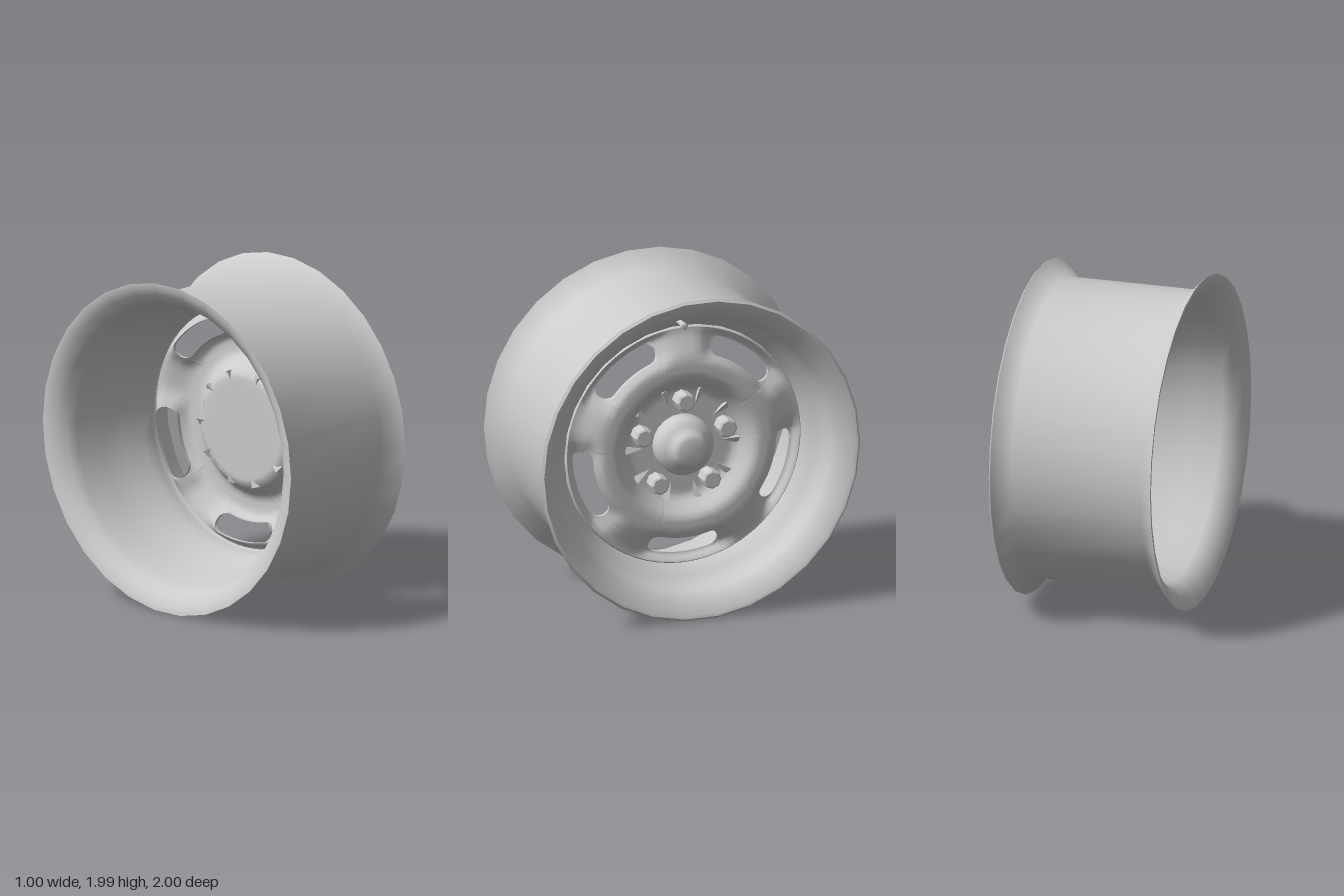
import * as THREE from 'three';
import { mergeVertices, toCreasedNormals } from 'three/addons/utils/BufferGeometryUtils.js';

const CENTRE_Y = 0.9945;
const SECTORS = 5;
const RAD = Math.PI / 180;
const MID = 0.625; // radius of the slot centre line
const FLOOR = 0.15; // height of the hub floor
const material = new THREE.MeshStandardMaterial({ color: 0xcccccc, side: THREE.DoubleSide });
const ss = (a, b, v) => THREE.MathUtils.smoothstep(v, a, b);

// Turned part about the x axis; points are [x, radius]
function turned(name, points, segments, crease) {
  let g = new THREE.LatheGeometry(points.map(([x, r]) => new THREE.Vector2(r, x)), segments);
  g.rotateZ(-Math.PI / 2);
  if (crease) g = toCreasedNormals(g, crease);
  const mesh = new THREE.Mesh(g, material);
  mesh.name = name;
  return mesh;
}

// Point on the wheel at a height x, radius and angle
const polar = (x, r, deg) => [x, r * Math.sin(deg * RAD), r * Math.cos(deg * RAD)];

// Disc height: sunken hub floor, raised ring, and a pocket around each slot
function discHeight(r, phi) {
  const pocket = (1 - ss(17, 30, Math.abs(phi))) * ss(0.53, 0.6, r) * (1 - ss(0.68, 0.73, r));
  return FLOOR + 0.11 * ss(0.32, 0.45, r) - 0.07 * ss(0.52, 0.73, r) - 0.05 * pocket;
}

// Half the radial opening of a slot at an angle from its middle
function slotHalf(phi) {
  const end = Math.max(0, Math.abs(phi) - 15) / 5;
  return end >= 1 ? 0 : 0.055 * Math.sqrt(1 - end * end);
}

// Column angles of one sector, denser at the slot ends
const half = [0, 3, 6, 9, 12, 15, 17, 18.5, 19.5, 20, 22, 25, 28, 32, 36];
const columns = [...half.slice(1).reverse().map(a => -a), ...half];

// Sheet made of rows x columns around all sectors; point(phi, angle, v) gives a position
function sheet(name, rows, point, keep = () => true) {
  const pos = [];
  for (let s = 0; s < SECTORS; s++) {
    const base = 270 + s * 360 / SECTORS;
    for (let i = 0; i < columns.length - 1; i++) {
      const p = columns[i], q = columns[i + 1];
      if (!keep(p, q)) continue;
      for (let j = 0; j < rows; j++) {
        const a = point(p, base + p, j / rows), b = point(q, base + q, j / rows);
        const c = point(q, base + q, (j + 1) / rows), d = point(p, base + p, (j + 1) / rows);
        pos.push(...a, ...b, ...c, ...a, ...c, ...d);
      }
    }
  }
  let g = new THREE.BufferGeometry();
  g.setAttribute('position', new THREE.Float32BufferAttribute(pos, 3));
  g = mergeVertices(g, 1e-4);
  g.computeVertexNormals();
  const mesh = new THREE.Mesh(g, material);
  mesh.name = name;
  return mesh;
}

export function createModel() {
  const group = new THREE.Group();
  group.name = 'wheel';
  group.position.y = CENTRE_Y;

  // Rim: straight outer barrel with flared lips, and a stepped inner face
  group.add(turned('rimOuter', [[-0.5, 1], [-0.4, 0.893], [0.39, 0.893], [0.485, 1], [0.5, 0.985]], 30));
  group.add(turned('rimInner', [
    [0.5, 0.985], [0.495, 0.965], [0.47, 0.925], [0.43, 0.875], [0.38, 0.855], [0.31, 0.84],
    [0.25, 0.8], [0.2, 0.75], [0.15, 0.74], [0.08, 0.75], [-0.05, 0.79], [-0.2, 0.825],
    [-0.37, 0.85], [-0.43, 0.875], [-0.47, 0.925], [-0.495, 0.965], [-0.5, 1],
  ], 30));

  // Disc: one sheet inside the slots and one outside, meeting between them
  const disc = new THREE.Group();
  disc.name = 'disc';
  const surface = (r, phi, deg) => polar(discHeight(r, phi), r, deg);
  disc.add(sheet('discInner', 18, (phi, deg, v) =>
    surface(THREE.MathUtils.lerp(0.1, MID - slotHalf(phi), v), phi, deg)));
  disc.add(sheet('discOuter', 5, (phi, deg, v) =>
    surface(THREE.MathUtils.lerp(MID + slotHalf(phi), 0.73, v), phi, deg)));
  // Turned-back flanges of the slots
  for (const side of [-1, 1]) {
    disc.add(sheet(side < 0 ? 'slotInnerEdge' : 'slotOuterEdge', 1, (phi, deg, v) => {
      const r = MID + side * slotHalf(phi);
      return polar(discHeight(r, phi) - 0.02 * v, r, deg);
    }, (p, q) => Math.max(Math.abs(p), Math.abs(q)) <= 20));
  }
  // Flange joining the disc to the rim
  disc.add(turned('discFlange', [[0.15, 0.738], [0.18, 0.738], [0.19, 0.73]], 60));
  // Closed hub floor
  disc.add(turned('hubFloor', [[FLOOR, 0.15], [FLOOR, 0]], 30));
  group.add(disc);

  // Centre cap
  group.add(turned('centreCap', [
    [FLOOR, 0.18], [0.225, 0.18], [0.25, 0.168], [0.27, 0.145], [0.285, 0.122],
    [0.31, 0.11], [0.33, 0.096], [0.338, 0.075], [0.338, 0],
  ], 20, 0.7));

  // Lug nuts, each flanked by two tapered ribs
  for (let i = 0; i < SECTORS; i++) {
    const angle = 90 + i * 360 / SECTORS;
    const nut = turned('lugNut', [[FLOOR, 0.057], [0.242, 0.057], [0.25, 0.047], [0.25, 0]], 8, 0.5);
    nut.position.set(...polar(0, 0.275, angle));
    group.add(nut);
    for (const side of [-1, 1]) {
      const a = angle + side * 19.5;
      const g = new THREE.ConeGeometry(0.03, 0.11, 3).toNonIndexed();
      g.computeVertexNormals();
      g.rotateX(-Math.PI / 2); // tip towards the hub
      const rib = new THREE.Mesh(g, material);
      rib.name = 'hubRib';
      rib.position.set(...polar(FLOOR + 0.012, 0.3, a));
      rib.rotation.x = -a * RAD;
      group.add(rib);
    }
  }

  // Valve stem
  const valve = turned('valveStem', [[0.35, 0.016], [0.43, 0.016], [0.435, 0.02], [0.46, 0.02], [0.465, 0.012], [0.465, 0]], 10, 0.6);
  valve.position.set(0, 0.835, 0.09);
  group.add(valve);
  return group;
}
